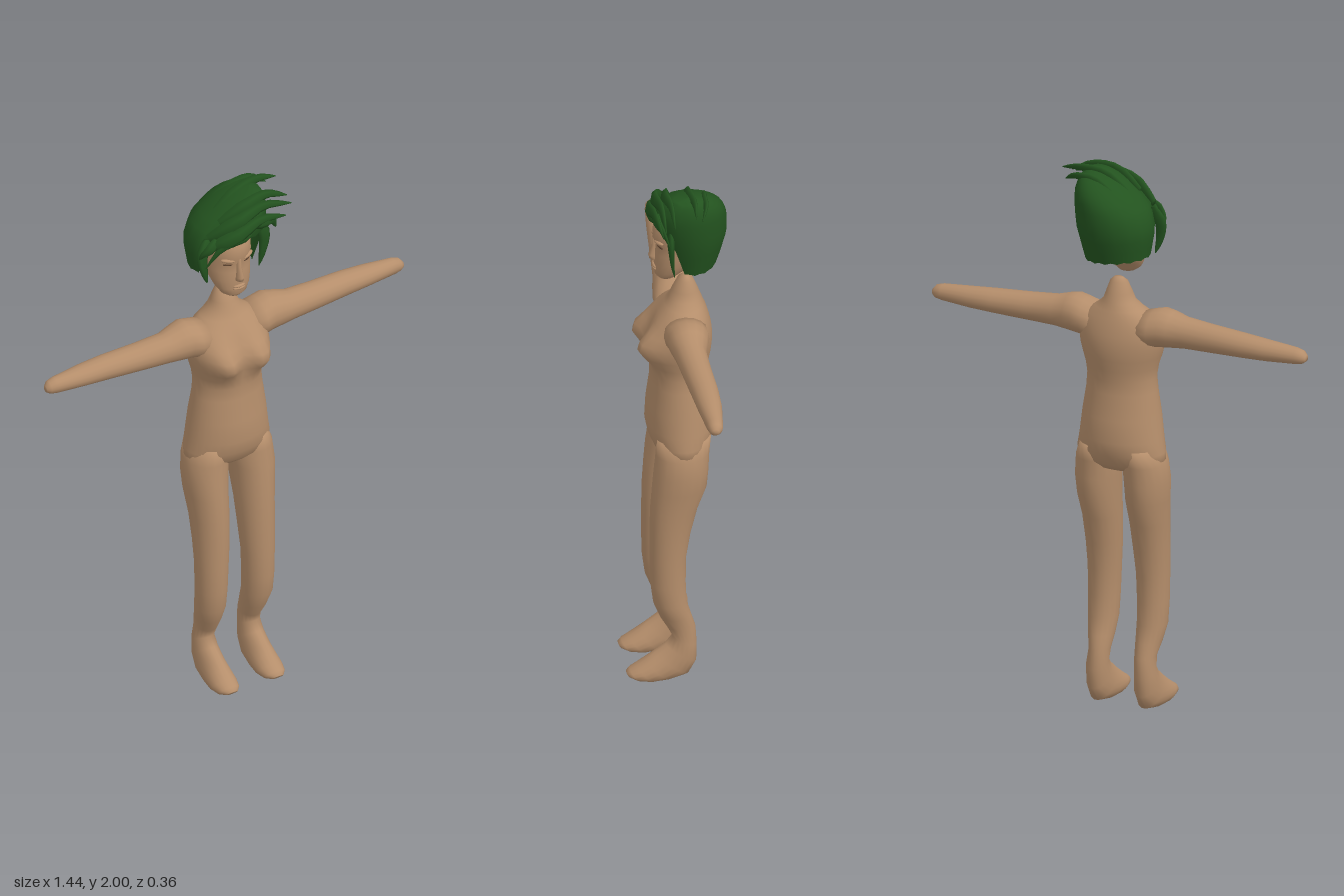
import * as THREE from 'three';

const skin = new THREE.MeshStandardMaterial({ color: 0xb58e6b, name: 'skin' });
const hairGreen = new THREE.MeshStandardMaterial({ color: 0x23531f, name: 'hairGreen', side: THREE.DoubleSide });
const lashBrown = new THREE.MeshStandardMaterial({ color: 0x5f4531, name: 'lashBrown' });

// Closed smooth skin over elliptical rings { c, u, v }: centre and two half axes
function loft(rings, n = 20, warp = null) {
  const pos = [], idx = [];
  for (const { c, u, v } of rings)
    for (let i = 0; i < n; i++) {
      const t = (i / n) * Math.PI * 2;
      const p = c.clone().addScaledVector(u, Math.cos(t)).addScaledVector(v, Math.sin(t));
      if (warp) warp(p);
      pos.push(p.x, p.y, p.z);
    }
  const last = rings.length - 1;
  for (let r = 0; r < last; r++)
    for (let i = 0; i < n; i++) {
      const j = (i + 1) % n, a = r * n + i, b = r * n + j;
      idx.push(a, b, a + n, b, b + n, a + n);
    }
  for (const r of [0, last]) {
    const m = pos.length / 3;
    pos.push(...rings[r].c.toArray());
    for (let i = 0; i < n; i++) {
      const a = r * n + i, b = r * n + (i + 1) % n;
      idx.push(...(r ? [a, b, m] : [b, a, m]));
    }
  }
  // turn the faces outwards, judged by the signed volume
  let vol = 0;
  const P = k => new THREE.Vector3().fromArray(pos, k * 3);
  for (let k = 0; k < idx.length; k += 3) vol += P(idx[k]).dot(P(idx[k + 1]).cross(P(idx[k + 2])));
  if (vol < 0) idx.reverse();
  const g = new THREE.BufferGeometry();
  g.setAttribute('position', new THREE.Float32BufferAttribute(pos, 3));
  g.setIndex(idx);
  g.computeVertexNormals();
  return g;
}

const V = (x, y, z) => new THREE.Vector3(x, y, z);

// Ring from centre x, half width, front (y, z) and back (y, z)
const ring = (cx, rx, yf, zf, yb, zb) => ({
  c: V(cx, (yf + yb) / 2, (zf + zb) / 2), u: V(rx, 0, 0), v: V(0, (yf - yb) / 2, (zf - zb) / 2),
});
const level = ([y, rx, zf, zb, cx = 0]) => ring(cx, rx, y, zf, y, zb);

function mesh(parent, name, geometry, material) {
  const m = new THREE.Mesh(geometry, material);
  m.name = name;
  parent.add(m);
  return m;
}

// Tapering strand of hair along a curve
function lock(points, w, flat = 0.5) {
  const curve = new THREE.CatmullRomCurve3(points.map(p => V(...p)));
  const rings = [];
  for (let i = 0; i <= 8; i++) {
    const t = i / 8, d = curve.getTangent(t);
    const out = V(0, 0.3, 1).addScaledVector(d, -V(0, 0.3, 1).dot(d)).normalize();
    const s = w * (0.06 + Math.pow(1 - t, 0.7) * Math.min(1, 0.45 + t * 2.5));
    rings.push({ c: curve.getPoint(t), u: d.clone().cross(out).multiplyScalar(s), v: out.multiplyScalar(s * flat) });
  }
  return loft(rings, 6);
}

// Hair cap outline by height: y, centre x, half width, front z, back z
const CAP = [
  [1.66, 0.0, 0.11, 0.03, -0.14], [1.70, 0.0, 0.12, 0.045, -0.155], [1.80, 0.005, 0.14, 0.07, -0.18],
  [1.87, 0.02, 0.133, 0.085, -0.178], [1.92, 0.05, 0.104, 0.08, -0.165], [1.96, 0.075, 0.07, 0.055, -0.13],
  [1.983, 0.095, 0.035, 0.02, -0.08], [1.988, 0.1, 0.0, -0.03, -0.03],
];

function hairCap() {
  const n = 32, rows = 12, pos = [], idx = [];
  for (let r = 0; r <= rows; r++)
    for (let i = 0; i < n; i++) {
      const t = (i / n) * Math.PI * 2, s = Math.sin(t);
      // the hem is high over the forehead and low at sides and back
      const open = THREE.MathUtils.smoothstep(s, 0.35, 0.72);
      const hem = 1.685 + 0.165 * open - 0.015 * Math.cos(t) + (i % 2) * 0.006;
      const y = hem + (1.988 - hem) * Math.sin((r / rows) * Math.PI / 2);
      let k = 0;
      while (k < CAP.length - 2 && CAP[k + 1][0] < y) k++;
      const f = (y - CAP[k][0]) / (CAP[k + 1][0] - CAP[k][0]);
      const [, cx, rx, zf, zb] = CAP[k].map((a, j) => a + (CAP[k + 1][j] - a) * f);
      pos.push(cx + rx * Math.cos(t), y, (zf + zb) / 2 + (zf - zb) / 2 * s);
    }
  for (let r = 0; r < rows; r++)
    for (let i = 0; i < n; i++) {
      const a = r * n + i, b = r * n + (i + 1) % n;
      idx.push(a, a + n, b, b, a + n, b + n);
    }
  const g = new THREE.BufferGeometry();
  g.setAttribute('position', new THREE.Float32BufferAttribute(pos, 3));
  g.setIndex(idx);
  g.computeVertexNormals();
  return g;
}

export function createModel() {
  const root = new THREE.Group();
  root.name = 'figure';

  // Torso with neck: y, half width, front z, back z
  const torso = [
    [1.605, 0.016, -0.03, -0.05], [1.59, 0.032, -0.012, -0.066], [1.55, 0.047, 0.008, -0.082],
    [1.52, 0.058, 0.02, -0.093], [1.495, 0.088, 0.035, -0.102], [1.47, 0.125, 0.055, -0.112],
    [1.44, 0.145, 0.07, -0.12], [1.41, 0.152, 0.08, -0.127], [1.38, 0.152, 0.088, -0.13],
    [1.35, 0.148, 0.092, -0.13], [1.32, 0.141, 0.092, -0.127], [1.28, 0.13, 0.088, -0.12],
    [1.24, 0.125, 0.085, -0.115], [1.19, 0.13, 0.086, -0.113], [1.1, 0.143, 0.098, -0.128],
    [1.02, 0.152, 0.102, -0.136], [0.97, 0.162, 0.092, -0.128], [0.93, 0.163, 0.075, -0.11],
    [0.905, 0.125, 0.05, -0.085], [0.89, 0.06, 0.02, -0.05],
  ].map(level);
  mesh(root, 'torso', loft(torso, 32, p => {
    if (p.z < 0) return;
    const dx = (Math.abs(p.x) - 0.075) / 0.055, dy = (p.y - 1.36) / 0.06;
    p.z += 0.062 * Math.exp(-dx * dx - dy * dy);
  }), skin);

  for (const s of [1, -1]) {
    const side = s > 0 ? 'left' : 'right';

    // Leg and foot in one run from hip to toe
    const leg = [
      [0.99, 0.06, 0.075, -0.115, 0.085], [0.93, 0.078, 0.078, -0.108, 0.089], [0.86, 0.079, 0.086, -0.104, 0.094],
      [0.79, 0.074, 0.092, -0.098, 0.093], [0.7, 0.068, 0.098, -0.066, 0.091], [0.6, 0.064, 0.1, -0.042, 0.091],
      [0.5, 0.059, 0.1, -0.026, 0.093], [0.4, 0.056, 0.098, -0.025, 0.094], [0.32, 0.054, 0.088, -0.028, 0.094],
      [0.26, 0.046, 0.065, -0.045, 0.091], [0.21, 0.037, 0.038, -0.06, 0.088],
    ].map(([y, rx, zf, zb, cx]) => level([y, rx, zf, zb, cx * s]));
    const foot = [
      [0.039, 0.175, 0.02, 0.14, -0.064], [0.042, 0.145, 0.045, 0.07, -0.062], [0.045, 0.115, 0.085, 0.02, -0.035],
      [0.049, 0.09, 0.115, 0.003, 0.03], [0.049, 0.068, 0.145, 0.0, 0.085], [0.04, 0.052, 0.17, 0.008, 0.135],
      [0.022, 0.04, 0.182, 0.022, 0.168],
    ].map(([rx, yf, zf, yb, zb]) => ring(0.092 * s, rx, yf, zf, yb, zb));
    mesh(root, side + 'Leg', loft([...leg, ...foot], 18), skin);

    // Arm: x, low y, high y, front z, back z
    const arm = [
      [0.08, 1.37, 1.485, 0.05, -0.1], [0.13, 1.365, 1.5, 0.055, -0.1], [0.165, 1.37, 1.51, 0.05, -0.097],
      [0.2, 1.373, 1.503, 0.045, -0.088], [0.25, 1.377, 1.488, 0.035, -0.075], [0.35, 1.381, 1.48, 0.026, -0.076],
      [0.48, 1.387, 1.473, 0.015, -0.08], [0.57, 1.391, 1.466, 0.007, -0.077], [0.68, 1.398, 1.457, -0.005, -0.063],
      [0.705, 1.403, 1.45, -0.01, -0.058], [0.718, 1.412, 1.435, -0.02, -0.045],
    ].map(([x, y0, y1, zf, zb]) => ({
      c: V(x * s, (y0 + y1) / 2, (zf + zb) / 2), u: V(0, (y1 - y0) / 2, 0), v: V(0, 0, (zf - zb) / 2),
    }));
    mesh(root, side + 'Arm', loft(arm, 16), skin);
  }

  // Head
  const head = new THREE.Group();
  head.name = 'head';
  root.add(head);
  mesh(head, 'face', loft([
    [1.612, 0.03, 0.058, 0.0], [1.625, 0.048, 0.068, -0.01], [1.65, 0.064, 0.071, -0.04], [1.685, 0.076, 0.071, -0.08],
    [1.72, 0.082, 0.07, -0.11], [1.75, 0.085, 0.066, -0.13], [1.775, 0.086, 0.076, -0.14], [1.82, 0.085, 0.073, -0.14],
    [1.87, 0.07, 0.045, -0.12], [1.9, 0.03, 0.0, -0.07],
  ].map(level), 28), skin);
  mesh(head, 'nose', loft([
    [1.775, 0.008, 0.077, 0.05], [1.74, 0.009, 0.078, 0.05], [1.7, 0.014, 0.091, 0.05],
    [1.687, 0.016, 0.088, 0.05], [1.68, 0.01, 0.074, 0.05],
  ].map(level), 10), skin);
  for (const y of [1.66, 1.651]) {
    const lip = mesh(head, 'lip', new THREE.SphereGeometry(1, 12, 8), skin);
    lip.scale.set(0.024, 0.006, 0.01);
    lip.position.set(0, y, 0.068);
  }
  for (const s of [1, -1]) {
    const eye = mesh(head, 'eye', new THREE.SphereGeometry(1, 12, 8), lashBrown);
    eye.scale.set(0.017, 0.0045, 0.0045);
    eye.position.set(0.038 * s, 1.752, 0.055);
    eye.rotation.y = 0.45 * s;
    const brow = mesh(head, 'brow', new THREE.SphereGeometry(1, 12, 8), skin);
    brow.scale.set(0.026, 0.007, 0.01);
    brow.position.set(0.04 * s, 1.772, 0.06);
    brow.rotation.set(0, 0.45 * s, 0.12 * s);
  }

  // Hair: cap and swept locks
  const hair = new THREE.Group();
  hair.name = 'hair';
  root.add(hair);
  mesh(hair, 'hairCap', hairCap(), hairGreen);
  [
    [[[-0.1, 1.84, 0.045], [-0.02, 1.88, 0.085], [0.08, 1.915, 0.08], [0.19, 1.885, 0.065]], 0.034],
    [[[-0.1, 1.87, 0.03], [0.0, 1.93, 0.07], [0.1, 1.955, 0.06], [0.215, 1.925, 0.06]], 0.034],
    [[[-0.05, 1.91, 0.02], [0.05, 1.965, 0.04], [0.13, 1.975, 0.03], [0.215, 1.94, 0.03]], 0.032],
    [[[-0.03, 1.92, -0.04], [0.06, 1.975, -0.04], [0.14, 1.988, -0.05], [0.215, 1.975, -0.045]], 0.03],
    [[[0.0, 1.93, -0.1], [0.08, 1.965, -0.09], [0.14, 1.97, -0.09], [0.19, 1.945, -0.07]], 0.028],
    [[[0.03, 1.9, 0.06], [0.1, 1.9, 0.075], [0.14, 1.88, 0.06], [0.165, 1.83, 0.04]], 0.03],
    [[[0.05, 1.87, 0.07], [0.0, 1.87, 0.085], [-0.07, 1.84, 0.07], [-0.12, 1.76, 0.045]], 0.026],
    [[[-0.1, 1.86, 0.02], [-0.125, 1.8, 0.03], [-0.12, 1.74, 0.035], [-0.105, 1.685, 0.03]], 0.028],
    [[[-0.08, 1.87, 0.05], [-0.11, 1.84, 0.055], [-0.13, 1.82, 0.045], [-0.138, 1.79, 0.03]], 0.024],
    [[[0.11, 1.86, 0.03], [0.125, 1.8, 0.03], [0.12, 1.73, 0.025], [0.112, 1.67, 0.015]], 0.028],
  ].forEach(([points, w]) => mesh(hair, 'hairLock', lock(points, w), hairGreen));

  return root;
}
